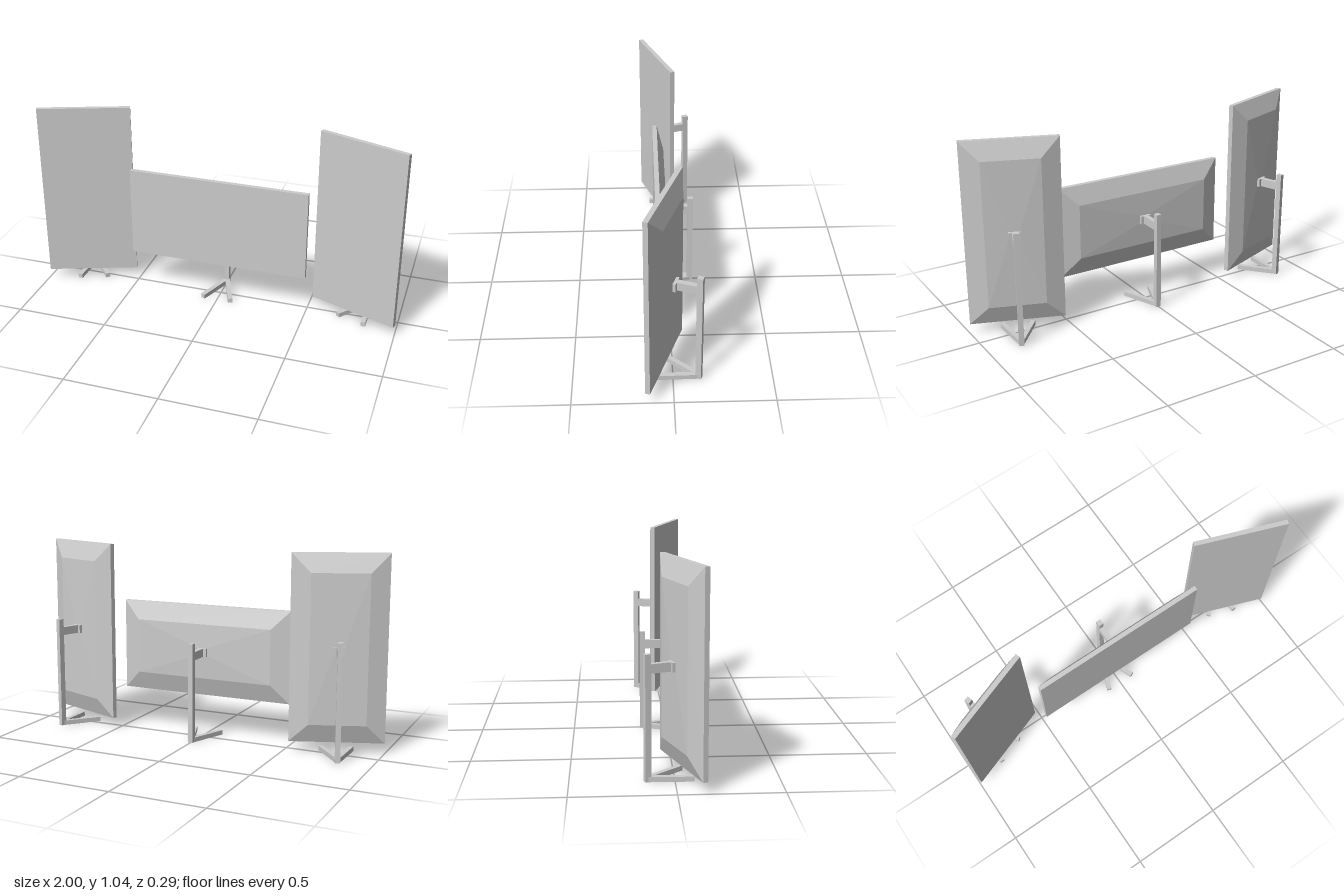
import * as THREE from 'three';

const grey = new THREE.MeshStandardMaterial({ color: 0xcccccc });
grey.name = 'light grey plastic';

// Axis-aligned box given by its centre and size
function box(name, w, h, d, x, y, z) {
  const geo = new THREE.BoxGeometry(w, h, d);
  geo.translate(x, y, z);
  const mesh = new THREE.Mesh(geo, grey);
  mesh.name = name;
  return mesh;
}

// Panel shell: rectangular cross-sections stacked from the front (z = 0) to the back
function panelGeometry(w, h) {
  const rings = [
    [w, h, 0],
    [w, h, -0.025],
    [w - 0.2, h - 0.2, -0.06],
    [0.06, 0.045, -0.066],
  ].map(([a, b, z]) => [[-1, -1], [1, -1], [1, 1], [-1, 1]].map(([sx, sy]) => [sx * a / 2, sy * b / 2, z]));
  const pos = [];
  const quad = (a, b, c, d) => pos.push(...a, ...b, ...c, ...a, ...c, ...d);
  quad(...rings[0]);
  for (let r = 0; r < rings.length - 1; r++) {
    for (let i = 0; i < 4; i++) {
      const j = (i + 1) % 4;
      quad(rings[r][j], rings[r][i], rings[r + 1][i], rings[r + 1][j]);
    }
  }
  quad(...rings[3].slice().reverse());
  const geo = new THREE.BufferGeometry();
  geo.setAttribute('position', new THREE.Float32BufferAttribute(pos, 3));
  geo.computeVertexNormals();
  return geo;
}

// Monitor on its stand; the origin lies on the floor below the front of the panel
function monitor(name, w, h, centreY) {
  const group = new THREE.Group();
  group.name = name;

  const panel = new THREE.Mesh(panelGeometry(w, h), grey);
  panel.name = 'panel';
  panel.position.y = centreY;
  group.add(panel);

  // Mount and post
  const postTop = centreY + 0.067;
  const armY = centreY - 0.002;
  group.add(
    box('mountPlate', 0.062, 0.045, 0.022, 0, armY, -0.071),
    box('arm', 0.027, 0.045, 0.11, 0, armY, -0.132),
    box('post', 0.027, postTop, 0.03, 0, postTop / 2, -0.196),
  );

  // Splayed feet
  for (const side of [-1, 1]) {
    const foot = box(side < 0 ? 'rightFoot' : 'leftFoot', 0.025, 0.025, 0.222, 0, 0.0125, 0.111);
    foot.position.z = -0.196;
    foot.rotation.y = side * THREE.MathUtils.degToRad(21);
    group.add(foot);
  }
  return group;
}

export function createModel() {
  const model = new THREE.Group();
  model.name = 'tripleMonitors';

  const centre = monitor('centreMonitor', 0.99, 0.5, 0.475);
  centre.position.z = 0.073;
  model.add(centre);

  // Upright side monitors, turned inward
  for (const side of [-1, 1]) {
    const m = monitor(side < 0 ? 'rightMonitor' : 'leftMonitor', 0.5, 0.99, 0.55);
    m.position.set(side * 0.756, 0, 0.0545);
    m.rotation.y = -side * THREE.MathUtils.degToRad(20);
    model.add(m);
  }
  return model;
}
